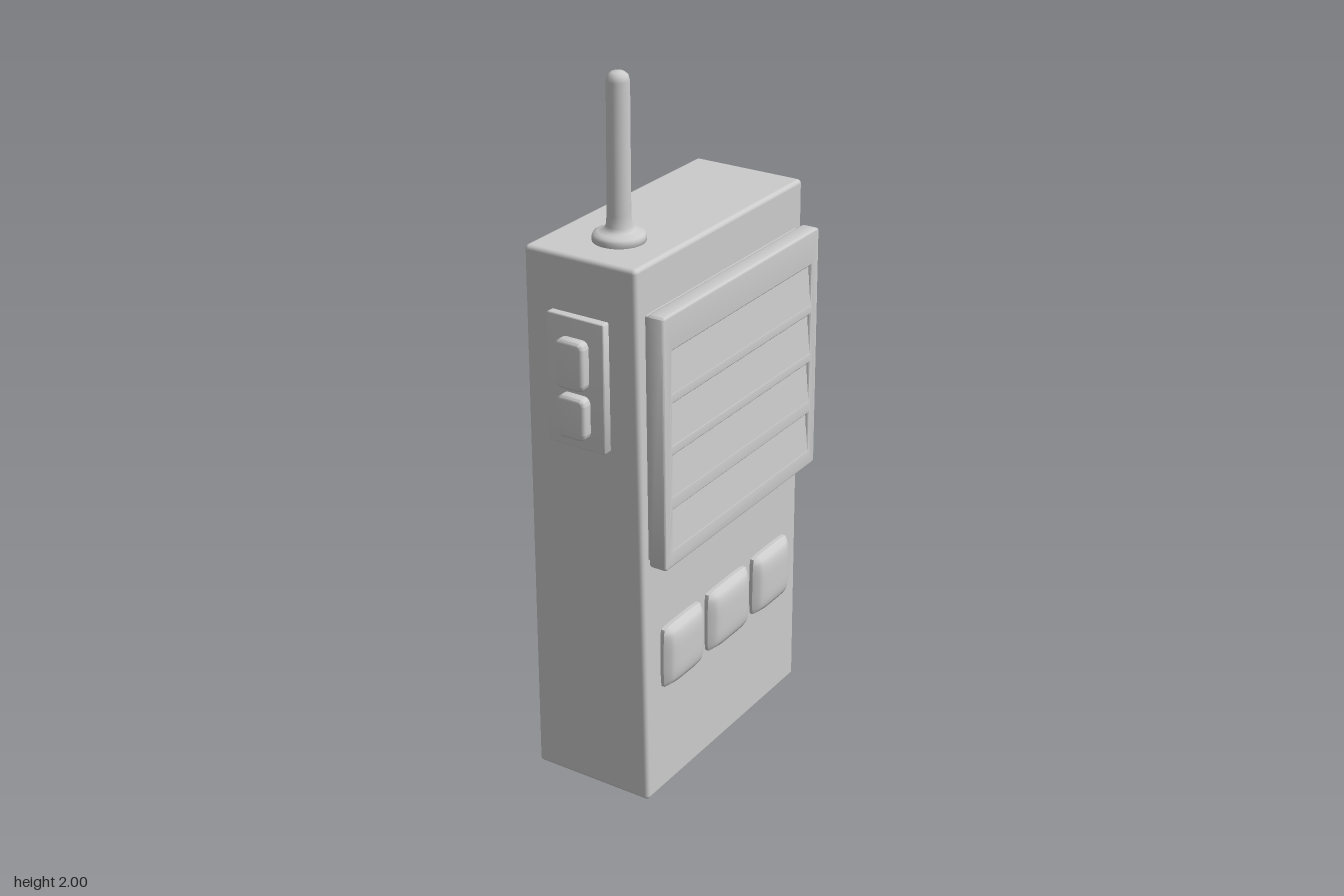
import * as THREE from 'three';
import { toCreasedNormals } from 'three/addons/utils/BufferGeometryUtils.js';
import { RoundedBoxGeometry } from 'three/addons/geometries/RoundedBoxGeometry.js';

const material = new THREE.MeshStandardMaterial({ color: 0xcccccc });

function add(parent, name, geometry, x = 0, y = 0, z = 0) {
  const mesh = new THREE.Mesh(geometry, material);
  mesh.name = name;
  mesh.position.set(x, y, z);
  parent.add(mesh);
  return mesh;
}

// Rounded rectangle centred on the origin
function roundedRect(w, h, r) {
  const s = new THREE.Shape();
  const x = w / 2 - r, y = h / 2 - r;
  s.absarc(x, y, r, 0, Math.PI / 2);
  s.absarc(-x, y, r, Math.PI / 2, Math.PI);
  s.absarc(-x, -y, r, Math.PI, Math.PI * 1.5);
  s.absarc(x, -y, r, Math.PI * 1.5, Math.PI * 2);
  s.closePath();
  return s;
}

// Plate standing on z = 0 and rising to z = depth, with a softened front edge
function plate(shape, depth, bevel) {
  const g = new THREE.ExtrudeGeometry(shape, {
    depth: depth - bevel * 2, bevelThickness: bevel, bevelSize: bevel,
    bevelOffset: -bevel, bevelSegments: 3, curveSegments: 6,
  });
  g.translate(0, 0, bevel);
  return toCreasedNormals(g, 0.7);
}

// Soft key: a box whose front (+z) swells towards the middle
function domedKey(w, h, depth, edge) {
  const g = new THREE.BoxGeometry(w, h, depth, 16, 16, 1);
  g.translate(0, 0, depth / 2);
  const p = g.attributes.position;
  for (let i = 0; i < p.count; i++) {
    const u = (p.getX(i) * 2) / w, v = (p.getY(i) * 2) / h;
    const swell = Math.sqrt(Math.max(0, (1 - u ** 4) * (1 - v ** 4)));
    const corner = 1 - 0.05 * u ** 4 * v ** 4;
    p.setXYZ(i, p.getX(i) * corner, p.getY(i) * corner,
      p.getZ(i) * (edge + (1 - edge) * swell));
  }
  g.computeVertexNormals();
  return g;
}

export function createModel() {
  const radio = new THREE.Group();
  radio.name = 'handheldRadio';

  // Body: rounded box, thicker at the foot and deeper at the top
  const bodyGeo = new RoundedBoxGeometry(2, 1.56, 2, 3, 0.012);
  const p = bodyGeo.attributes.position;
  for (let i = 0; i < p.count; i++) {
    const t = p.getY(i) / 1.56 + 0.5;
    const soft = (v) => { // keep the corner radius small after scaling
      const d = 1 - Math.abs(v);
      return { s: Math.sign(v), d };
    };
    const a = soft(p.getX(i)), b = soft(p.getZ(i));
    const halfX = 0.183 - 0.014 * t, halfZ = 0.393 + 0.015 * t;
    p.setX(i, 0.014 - 0.005 * t + a.s * (halfX - a.d));
    p.setZ(i, -0.013 + 0.005 * t + b.s * (halfZ - b.d));
  }
  add(radio, 'body', bodyGeo, 0, 0.78, 0);

  // Speaker panel: frame with four louvre slots over a backing slab
  const speaker = new THREE.Group();
  speaker.name = 'speakerPanel';
  speaker.position.set(0.18, 1.085, -0.01);
  speaker.rotation.set(0, Math.PI / 2, 0);
  const tilt = new THREE.Group();
  tilt.name = 'speakerTilt';
  tilt.rotation.x = -0.009;
  speaker.add(tilt);
  radio.add(speaker);
  add(tilt, 'speakerBacking', new RoundedBoxGeometry(0.74, 0.69, 0.05, 2, 0.005), 0, 0, 0.022);
  const frame = roundedRect(0.775, 0.71, 0.012);
  for (const top of [1.34, 1.195, 1.05, 0.895]) {
    const y1 = top - 1.085, y0 = y1 - 0.113;
    const slot = new THREE.Path();
    slot.moveTo(-0.347, y0).lineTo(-0.347, y1).lineTo(0.347, y1).lineTo(0.347, y0).closePath();
    frame.holes.push(slot);
    const slat = add(tilt, 'louvre', new THREE.BoxGeometry(0.705, 0.128, 0.02), 0, (y0 + y1) / 2, 0.053);
    slat.rotation.x = -0.07;
  }
  add(tilt, 'speakerFrame', plate(frame, 0.05, 0.006), 0, 0, 0.018);

  // Three keys below the speaker
  for (const z of [0.217, -0.013, -0.243]) {
    const key = add(radio, 'faceKey', domedKey(z === -0.013 ? 0.205 : 0.187, 0.185, 0.038, 0.35), 0.189, 0.418, z);
    key.rotation.y = Math.PI / 2;
  }

  // Talk switch: plate with two buttons on the front edge
  add(radio, 'switchPlate', plate(roundedRect(0.175, 0.36, 0.005), 0.03, 0.004), 0.008, 1.225, 0.391);
  add(radio, 'upperSwitch', plate(roundedRect(0.088, 0.135, 0.02), 0.05, 0.01), 0.006, 1.283, 0.4);
  add(radio, 'lowerSwitch', plate(roundedRect(0.088, 0.118, 0.02), 0.05, 0.01), 0.009, 1.138, 0.4);

  // Rounded cover on the rear edge
  const cover = add(radio, 'rearCover', plate(roundedRect(0.178, 0.39, 0.04), 0.05, 0.01), 0.012, 1.237, -0.402);
  cover.rotation.y = Math.PI;

  // Belt clip: mount and a long leaning strip
  add(radio, 'clipMount', new RoundedBoxGeometry(0.04, 0.145, 0.285, 2, 0.01), -0.174, 1.273, -0.01);
  const strip = new THREE.Shape();
  strip.moveTo(-0.17, 1.345);
  strip.lineTo(-0.245, 1.345);
  strip.quadraticCurveTo(-0.265, 1.342, -0.263, 1.31);
  strip.lineTo(-0.228, 0.51);
  strip.quadraticCurveTo(-0.222, 0.482, -0.205, 0.48);
  strip.quadraticCurveTo(-0.194, 0.482, -0.196, 0.51);
  strip.lineTo(-0.235, 1.305);
  strip.quadraticCurveTo(-0.235, 1.32, -0.225, 1.32);
  strip.lineTo(-0.17, 1.32);
  strip.closePath();
  const clip = new THREE.ExtrudeGeometry(strip, {
    depth: 0.195, bevelThickness: 0.015, bevelSize: 0.008, bevelOffset: -0.008,
    bevelSegments: 4, curveSegments: 6,
  });
  add(radio, 'beltClip', toCreasedNormals(clip, 0.7), 0, 0, -0.105);

  // Antenna with collar and rounded tip
  const profile = [
    [0, 1.55], [0.07, 1.55], [0.07, 1.572], [0.066, 1.58], [0.055, 1.585], [0.04, 1.588],
    [0.034, 1.6], [0.031, 1.63], [0.03, 1.975], [0.026, 1.99], [0.016, 1.998], [0, 2],
  ].map(([x, y]) => new THREE.Vector2(x, y));
  add(radio, 'antenna', new THREE.LatheGeometry(profile, 32), 0.022, 0, 0.24);

  // The whole radio is turned very slightly
  radio.rotation.y = 0.014;
  const root = new THREE.Group();
  root.name = 'model';
  root.add(radio);
  return root;
}
